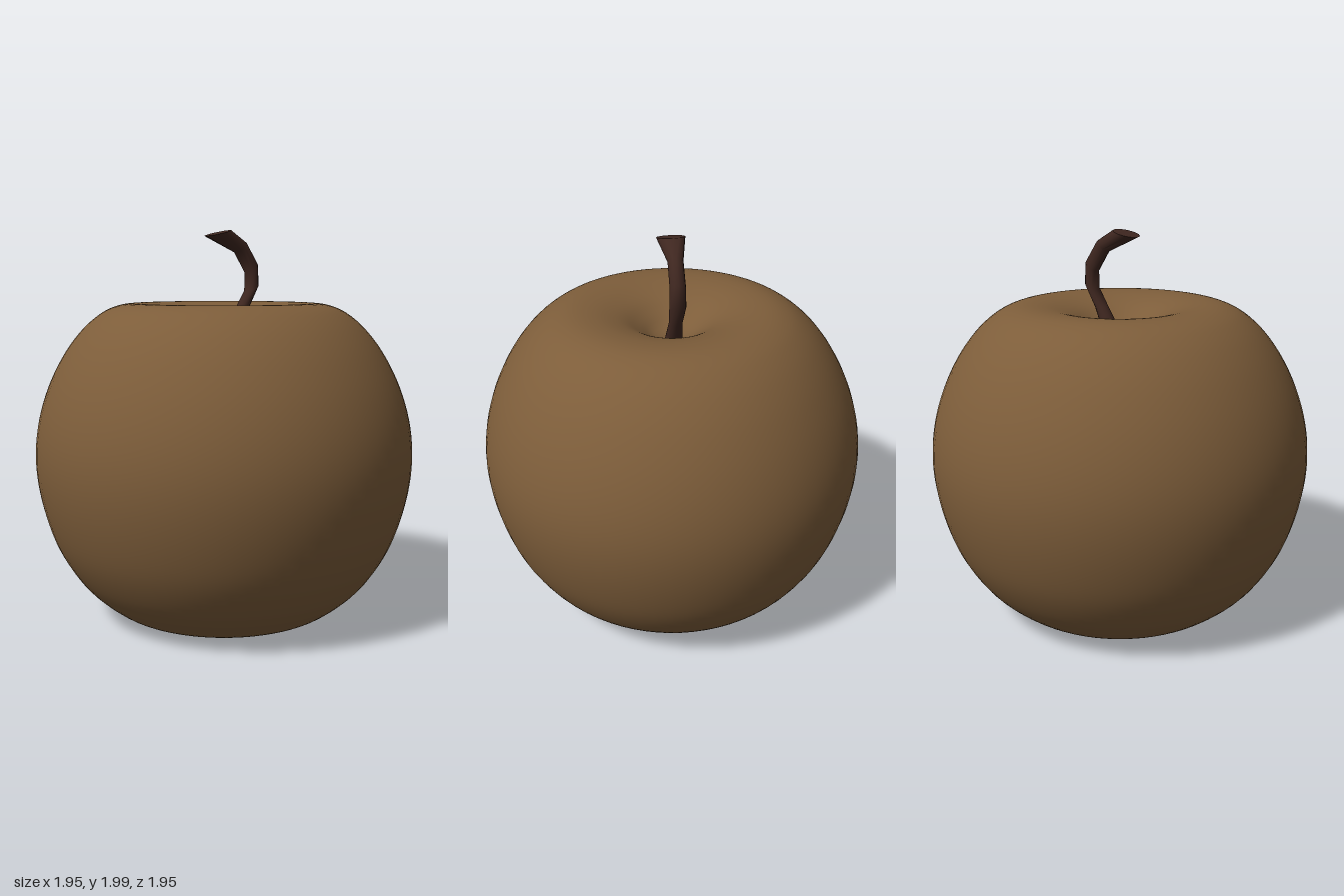
import * as THREE from 'three';
import { toCreasedNormals } from 'three/addons/utils/BufferGeometryUtils.js';

// Fruit body: a smooth profile turned around y, with a dimple at both ends
function makeBody() {
  const profile = [
    [0, 0.1], [0.12, 0.088], [0.24, 0.052], [0.34, 0.018], [0.43, 0.006], [0.51, 0.02],
    [0.6, 0.065], [0.72, 0.165], [0.81, 0.28], [0.885, 0.42], [0.94, 0.59], [0.97, 0.76],
    [0.972, 0.92], [0.945, 1.08], [0.89, 1.24], [0.81, 1.39], [0.72, 1.505], [0.63, 1.58],
    [0.55, 1.617], [0.47, 1.63], [0.38, 1.624], [0.3, 1.605], [0.23, 1.577], [0.16, 1.533],
    [0.09, 1.488], [0, 1.465],
  ].map(([r, y]) => new THREE.Vector2(r, y));
  const points = new THREE.SplineCurve(profile).getPoints(100);
  points.forEach((p) => { p.x = Math.max(0, p.x); });
  points[0].x = points[points.length - 1].x = 0;
  const body = new THREE.Mesh(
    new THREE.LatheGeometry(points, 72),
    new THREE.MeshStandardMaterial({ color: 0x7d5d3a }),
  );
  body.name = 'fruitBody';
  return body;
}

// Bent stem: each ring of a cylinder is stretched between a left and a right edge point
function makeStem() {
  // left x, left y, right x, right y, half depth in z
  const rings = [
    [-0.01, 1.46, 0.085, 1.45, 0.048],
    [0.08, 1.61, 0.145, 1.6, 0.034],
    [0.132, 1.69, 0.205, 1.72, 0.041],
    [0.135, 1.78, 0.2, 1.83, 0.039],
    [0.07, 1.885, 0.13, 1.94, 0.038],
    [-0.105, 1.967, 0.03, 2.0, 0.071],
  ];
  const last = rings.length - 1;
  const geometry = new THREE.CylinderGeometry(1, 1, last, 12, last);
  const position = geometry.attributes.position;
  for (let i = 0; i < position.count; i++) {
    const [ax, ay, bx, by, depth] = rings[Math.round(position.getY(i) + last / 2)];
    const t = (position.getX(i) + 1) / 2;
    position.setXYZ(
      i,
      THREE.MathUtils.lerp(ax, bx, t),
      THREE.MathUtils.lerp(ay, by, t),
      position.getZ(i) * depth,
    );
  }
  const stem = new THREE.Mesh(
    toCreasedNormals(geometry, 0.8),
    new THREE.MeshStandardMaterial({ color: 0x3f2720 }),
  );
  stem.name = 'stem';
  return stem;
}

export function createModel() {
  const group = new THREE.Group();
  group.name = 'apple';
  group.add(makeBody(), makeStem());
  return group;
}
